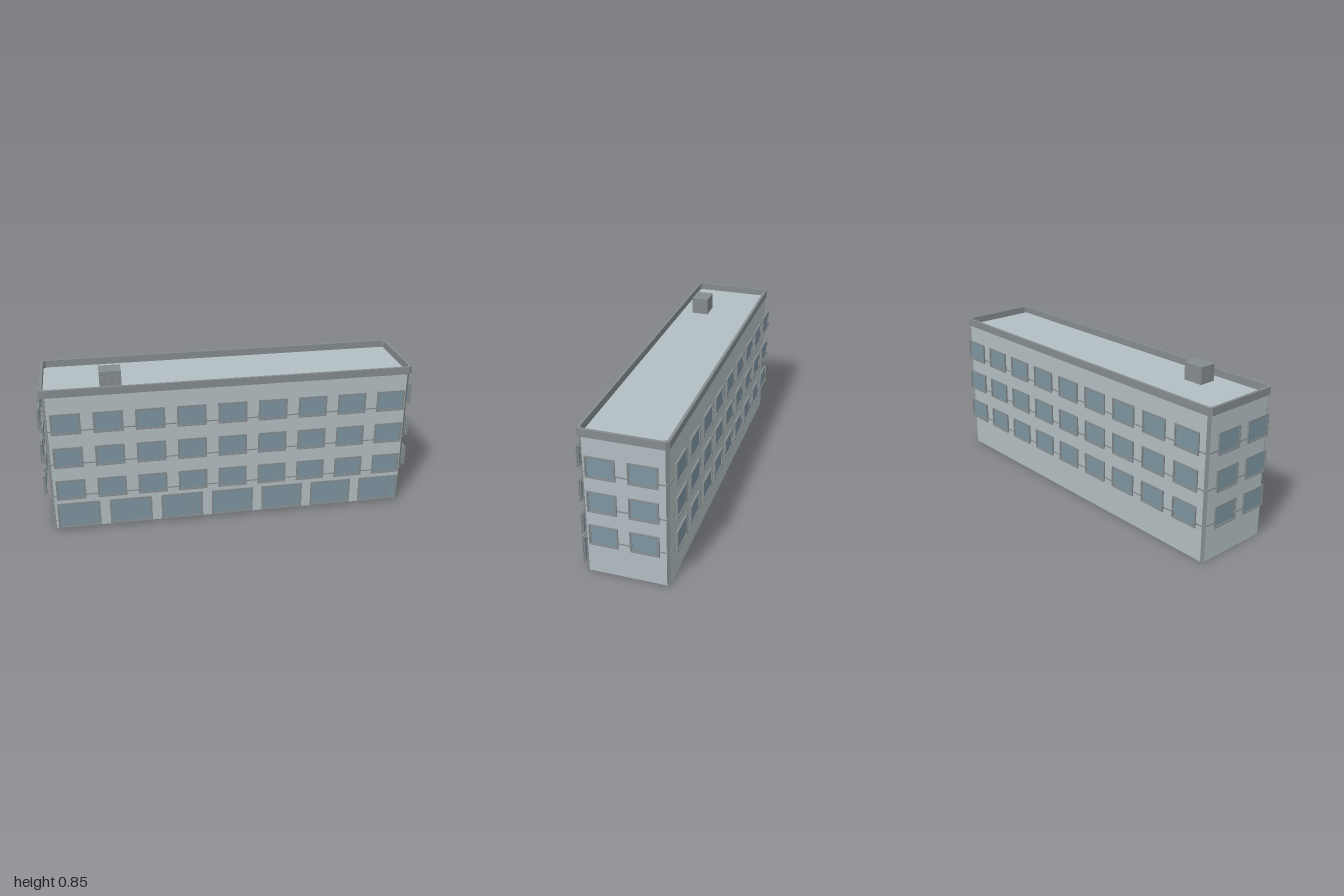
import * as THREE from 'three';

const material = (color) => new THREE.MeshStandardMaterial({ color, flatShading: true });
const wallMat = material(0xb2bec2);
const trimMat = material(0x858c8e);
const glassMat = material(0x7d95a1);

function add(parent, name, geometry, mat, x = 0, y = 0, z = 0) {
  const mesh = new THREE.Mesh(geometry, mat);
  mesh.name = name;
  mesh.position.set(x, y, z);
  parent.add(mesh);
  return mesh;
}

// Corner points of a rectangle with cut corners (half sizes a, b and cut c)
function chamferedPoints(a, b, c) {
  return [[a, c - b], [a, b - c], [a - c, b], [c - a, b], [-a, b - c], [-a, c - b], [c - a, -b], [a - c, -b]]
    .map(([x, y]) => new THREE.Vector2(x, y));
}

// Upright prism standing on y = 0, optionally hollow
function prism(points, height, holePoints) {
  const shape = new THREE.Shape(points);
  if (holePoints) shape.holes.push(new THREE.Path(holePoints));
  return new THREE.ExtrudeGeometry(shape, { depth: height, bevelEnabled: false }).rotateX(-Math.PI / 2);
}

// Rectangular frame facing +z
function frameGeometry(w, h, border, depth) {
  const rect = (a, b) => [[-a, -b], [a, -b], [a, b], [-a, b]].map(([x, y]) => new THREE.Vector2(x, y));
  const shape = new THREE.Shape(rect(w / 2, h / 2));
  shape.holes.push(new THREE.Path(rect(w / 2 - border, h / 2 - border)));
  return new THREE.ExtrudeGeometry(shape, { depth, bevelEnabled: false });
}

// Returns a function that stamps out copies of one window, z = 0 being its back
function windowMaker(name, w, h, mullionX) {
  const outer = frameGeometry(w, h, 0.006, 0.006);
  const inner = frameGeometry(w - 0.01, h - 0.01, 0.006, 0.008);
  const glass = new THREE.BoxGeometry(w - 0.016, h - 0.016, 0.005);
  const bar = new THREE.BoxGeometry(0.006, h - 0.014, 0.008);
  return (parent, x, y, z) => {
    const unit = new THREE.Group();
    unit.name = name;
    unit.position.set(x, y, z);
    add(unit, 'outerFrame', outer, trimMat, 0, 0, 0.007);
    add(unit, 'innerFrame', inner, trimMat);
    add(unit, 'glass', glass, glassMat, 0, 0, 0.0045);
    if (mullionX !== undefined) add(unit, 'mullion', bar, trimMat, mullionX, 0, 0.006);
    parent.add(unit);
  };
}

export function createModel() {
  const model = new THREE.Group();
  model.name = 'officeBuilding';
  const floors = [0.244, 0.432, 0.621];

  // Main block with corner posts
  add(model, 'walls', prism(chamferedPoints(0.965, 0.213, 0.013), 0.762), wallMat);
  const post = new THREE.CylinderGeometry(0.0135, 0.0135, 0.76, 4);
  for (const sx of [-1, 1]) {
    for (const sz of [-1, 1]) add(model, 'cornerPost', post, trimMat, sx * 0.952, 0.38, sz * 0.2);
  }

  // Parapet around the sunken flat roof
  add(model, 'parapet',
    prism(chamferedPoints(0.975, 0.22, 0.015), 0.04, chamferedPoints(0.961, 0.206, 0.012)),
    trimMat, 0, 0.76, 0);

  // Thin ledge at each upper floor
  const ledge = prism(chamferedPoints(0.968, 0.216, 0.013), 0.006, chamferedPoints(0.96, 0.208, 0.013));
  for (const y of floors) add(model, 'floorLedge', ledge, trimMat, 0, y - 0.053, 0);

  // Upper windows: nine on each long face, two on each end
  const longWindow = windowMaker('window', 0.153, 0.115);
  const endWindow = windowMaker('endWindow', 0.147, 0.115);
  const faces = [
    { name: 'frontFace', turn: 0, out: 0.232, count: 9, step: 0.2146, make: longWindow },
    { name: 'leftFace', turn: Math.PI / 2, out: 0.987, count: 2, step: 0.205, make: endWindow },
    { name: 'backFace', turn: Math.PI, out: 0.232, count: 9, step: 0.2146, make: longWindow },
    { name: 'rightFace', turn: -Math.PI / 2, out: 0.987, count: 2, step: 0.205, make: endWindow },
  ];
  for (const { name, turn, out, count, step, make } of faces) {
    const face = new THREE.Group();
    face.name = name;
    face.rotation.y = turn;
    for (const y of floors) {
      for (let i = 0; i < count; i++) make(face, (i - (count - 1) / 2) * step, y, out);
    }
    model.add(face);
  }

  // Ground floor shop windows along the front
  const shopWindow = windowMaker('shopWindow', 0.225, 0.147, 0.053);
  for (let i = 0; i < 7; i++) shopWindow(model, (i - 3) * 0.2752, 0.091, 0.232);

  // Ventilation unit on the roof with louvres to the front
  const vent = new THREE.Group();
  vent.name = 'roofVent';
  vent.position.set(-0.617, 0, 0.0965);
  add(vent, 'ventBox', new THREE.BoxGeometry(0.112, 0.093, 0.093), trimMat, 0, 0.8065, 0);
  const slat = new THREE.BoxGeometry(0.092, 0.005, 0.006);
  for (let i = 0; i < 4; i++) add(vent, 'louvre', slat, trimMat, 0, 0.78 + i * 0.016, 0.046);
  model.add(vent);

  return model;
}
